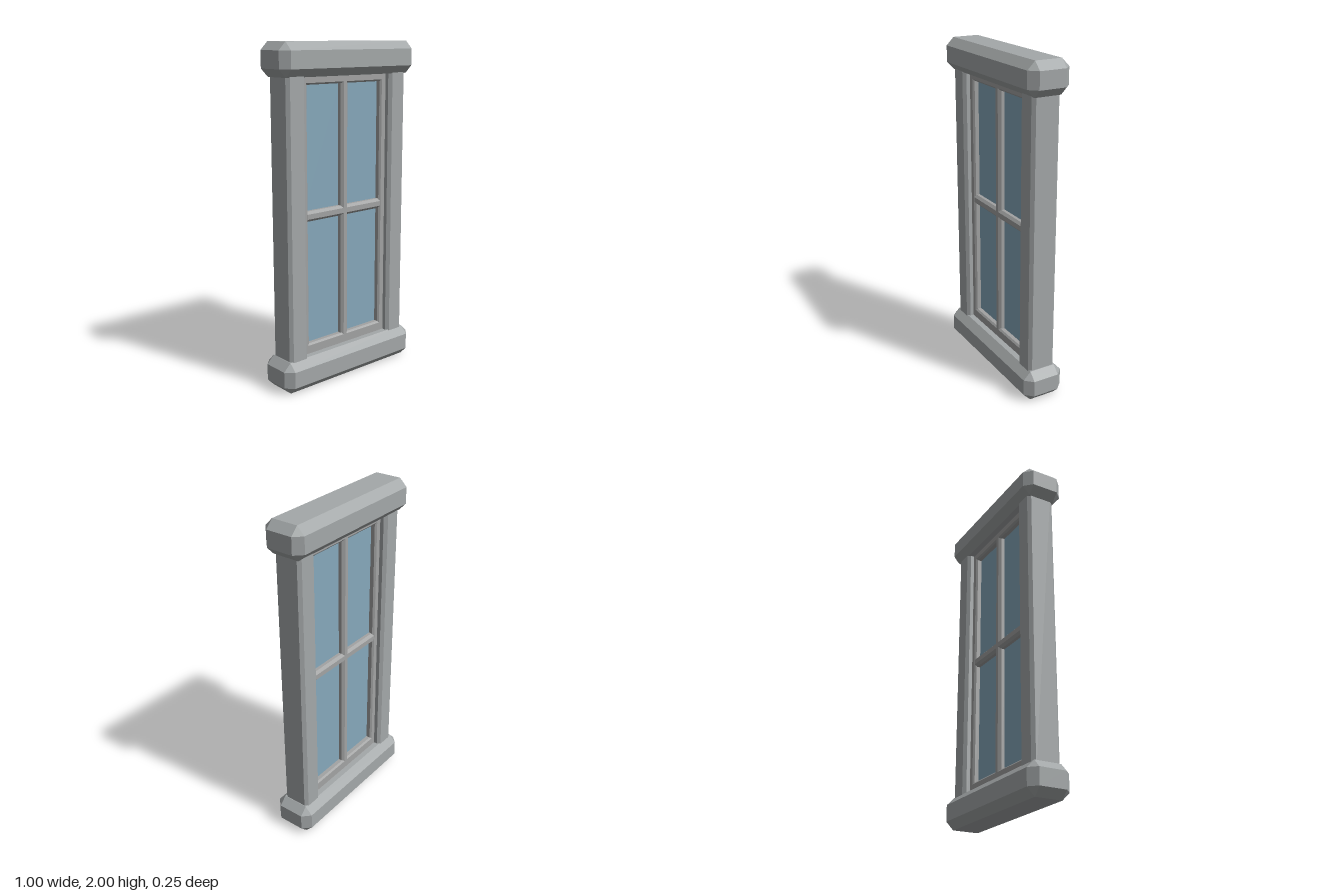
import * as THREE from 'three';
import { ConvexGeometry } from 'three/addons/geometries/ConvexGeometry.js';

// Box with all edges cut back by c, given as ranges in x and y and a half depth
function chamferBox(x0, x1, y0, y1, hz, c) {
  const hx = (x1 - x0) / 2, hy = (y1 - y0) / 2;
  const points = [];
  for (const sx of [-1, 1]) for (const sy of [-1, 1]) for (const sz of [-1, 1]) {
    points.push(
      new THREE.Vector3(sx * hx, sy * (hy - c), sz * (hz - c)),
      new THREE.Vector3(sx * (hx - c), sy * hy, sz * (hz - c)),
      new THREE.Vector3(sx * (hx - c), sy * (hy - c), sz * hz)
    );
  }
  return new ConvexGeometry(points).translate((x0 + x1) / 2, (y0 + y1) / 2, 0);
}

export function createModel() {
  const model = new THREE.Group();
  model.name = 'window';
  const stone = new THREE.MeshStandardMaterial({ name: 'stone grey', color: 0xa4a8a9 });
  const paint = new THREE.MeshStandardMaterial({ name: 'frame grey', color: 0xa2a3a3 });
  const glass = new THREE.MeshStandardMaterial({ name: 'glass blue', color: 0x86a8bb });

  const add = (name, geometry, material) => {
    const mesh = new THREE.Mesh(geometry, material);
    mesh.name = name;
    model.add(mesh);
  };

  // Heavy sill and lintel
  add('sill', chamferBox(-0.5, 0.5, 0, 0.19, 0.127, 0.046), stone);
  add('lintel', chamferBox(-0.5, 0.5, 1.81, 2, 0.127, 0.046), stone);

  // Side posts and frame stiles, mirrored
  for (const [side, s] of [['left', 1], ['right', -1]]) {
    const span = (a, b) => (s > 0 ? [a, b] : [-b, -a]);
    add(side + 'Post', chamferBox(...span(0.32, 0.45), 0.1, 1.9, 0.086, 0.018), stone);
    add(side + 'Stile', chamferBox(...span(0.28, 0.36), 0.15, 1.85, 0.045, 0.01), paint);
  }

  // Frame rails and glazing bars
  add('bottomRail', chamferBox(-0.34, 0.34, 0.12, 0.25, 0.045, 0.01), paint);
  add('topRail', chamferBox(-0.34, 0.34, 1.765, 1.88, 0.045, 0.01), paint);
  add('verticalBar', chamferBox(-0.027, 0.027, 0.2, 1.8, 0.045, 0.015), paint);
  add('horizontalBar', chamferBox(-0.3, 0.3, 0.99, 1.05, 0.045, 0.015), paint);

  // Four panes
  for (const x of [-0.15, 0.15]) for (const [y, h] of [[0.62, 0.78], [1.41, 0.76]]) {
    add('pane', new THREE.BoxGeometry(0.28, h, 0.02).translate(x, y, 0), glass);
  }
  return model;
}
